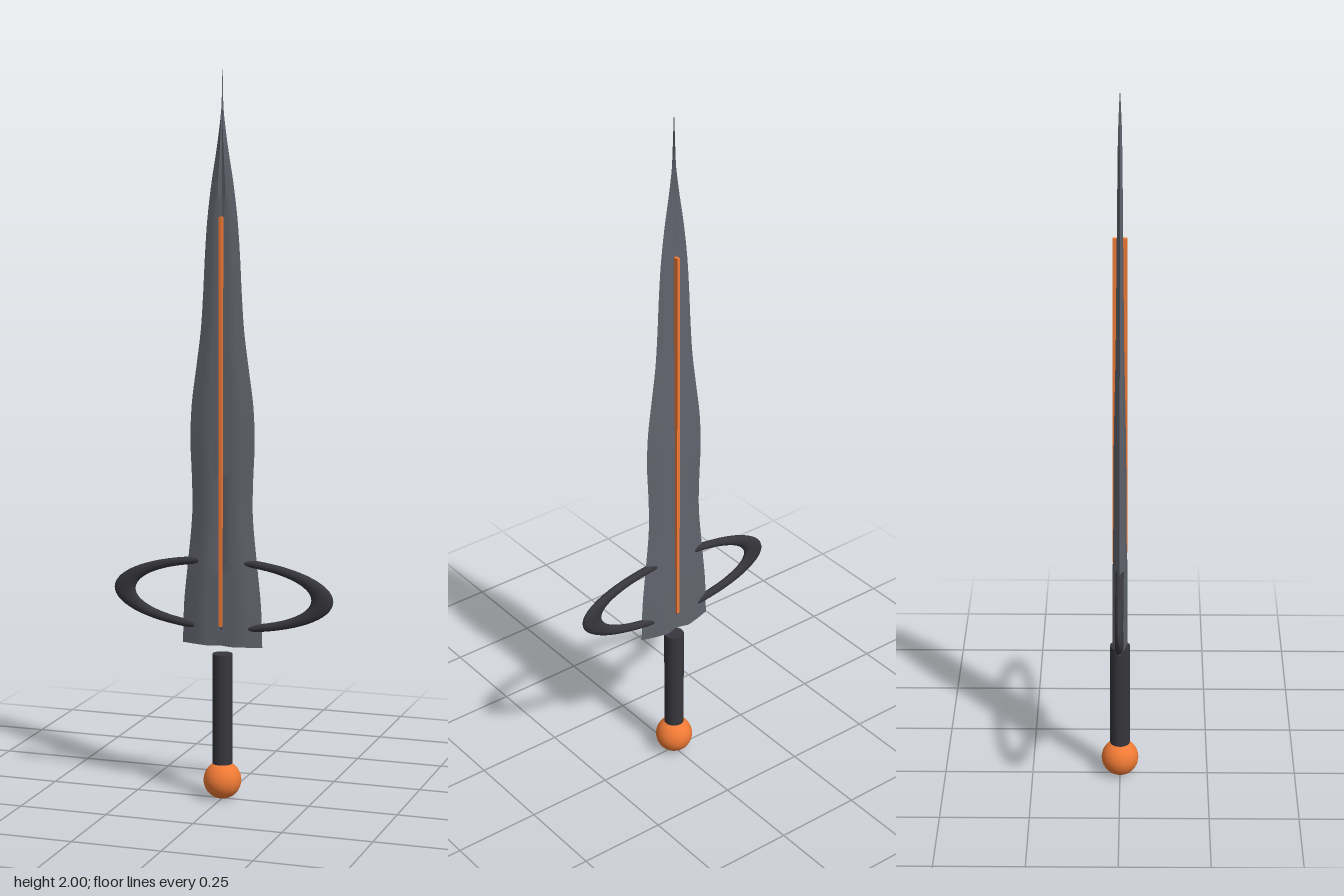
import * as THREE from 'three';
import { toCreasedNormals } from 'three/addons/utils/BufferGeometryUtils.js';

const mat = (color) => new THREE.MeshStandardMaterial({ color });
const steel = mat(0x62646e), dark = mat(0x36363c), orange = mat(0xf07a35);

function add(group, name, geometry, material, y = 0) {
  const mesh = new THREE.Mesh(geometry, material);
  mesh.name = name;
  mesh.position.y = y;
  group.add(mesh);
  return mesh;
}

// Blade stations: height, half width, half thickness
const stations = [
  [0.435, 0.115, 0.021], [0.55, 0.111, 0.0205], [0.65, 0.101, 0.02], [0.8, 0.087, 0.018],
  [0.9, 0.088, 0.0175], [1.0, 0.092, 0.017], [1.1, 0.088, 0.0155], [1.2, 0.075, 0.0135],
  [1.3, 0.062, 0.0115], [1.4, 0.055, 0.0105], [1.5, 0.05, 0.0095], [1.6, 0.043, 0.0085],
  [1.7, 0.031, 0.0075], [1.8, 0.015, 0.0065], [1.9, 0.003, 0.005], [2.0, 0.0006, 0.001],
];

// Section as fractions: sharp edges, two ridges and a central groove per face
const half = [[1, 0], [0.65, 0.58], [0.32, 1], [0, 0.5], [-0.32, 1], [-0.65, 0.58]];
const section = [...half, ...half.map(([x, z]) => [-x, -z])];

function bladeGeometry() {
  const curve = new THREE.CatmullRomCurve3(stations.map((s) => new THREE.Vector3(...s)));
  const rings = 60, n = section.length, pos = [], index = [];
  for (let i = 0; i <= rings; i++) {
    const p = curve.getPoint(i / rings);
    for (const [x, z] of section) pos.push(x * p.y, p.x, z * p.z);
  }
  for (let i = 0; i < rings; i++) {
    for (let j = 0; j < n; j++) {
      const a = i * n + j, b = i * n + ((j + 1) % n);
      index.push(a, a + n, b, b, a + n, b + n);
    }
  }
  // Caps at the base and the tip
  const base = pos.length / 3, top = rings * n;
  pos.push(0, stations[0][0], 0, 0, 2, 0);
  for (let j = 0; j < n; j++) {
    const k = (j + 1) % n;
    index.push(base, j, k, base + 1, top + k, top + j);
  }
  const g = new THREE.BufferGeometry();
  g.setAttribute('position', new THREE.Float32BufferAttribute(pos, 3));
  g.setIndex(index);
  return toCreasedNormals(g, 0.6);
}

export function createModel() {
  const group = new THREE.Group();
  group.name = 'sword';

  add(group, 'pommel', new THREE.SphereGeometry(0.0525, 32, 24), orange, 0.0525);
  add(group, 'grip', new THREE.CylinderGeometry(0.028, 0.028, 0.31, 32), dark, 0.255);
  add(group, 'blade', bladeGeometry(), steel);

  // Thin inlay running down the groove on both faces
  add(group, 'inlay', new THREE.BoxGeometry(0.009, 1.12, 0.04), orange, 1.05);

  // Flattened ring passing through the blade
  const ring = new THREE.TorusGeometry(0.285, 0.031, 16, 72);
  ring.scale(1, 0.33, 0.36);
  add(group, 'guardRing', ring, dark, 0.577);

  return group;
}
